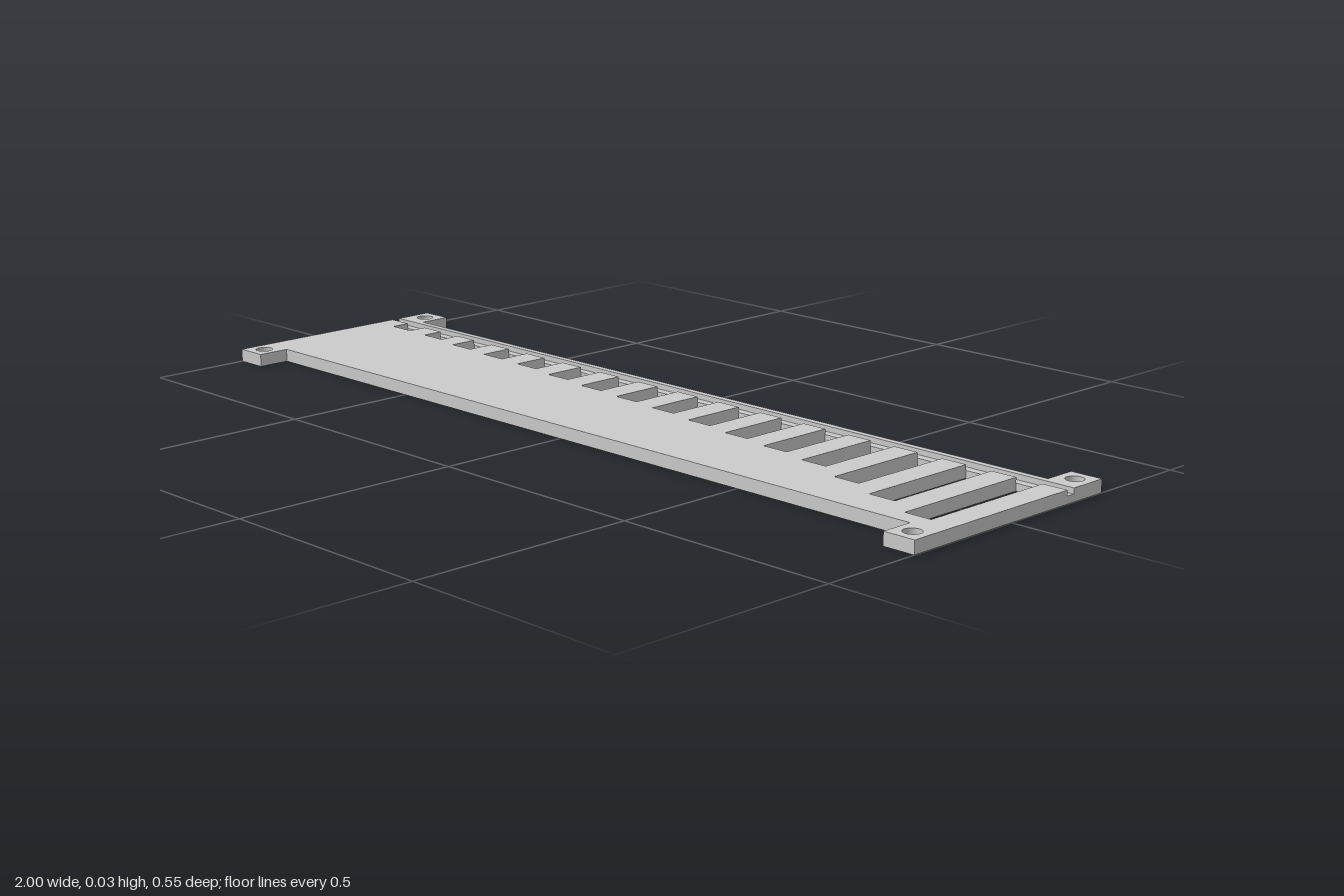
import * as THREE from 'three';

const HEIGHT = 0.028, FLOOR = 0.016;
const GROOVE_FRONT = -0.167, GROOVE_BACK = -0.187;
const EDGE = 0.202, TAB_END = 0.275, TAB_X = 0.928;
const HOLE_X = 0.964, HOLE_Z = 0.238, HOLE_R = 0.019;

// Front end (z) of each slot, from right to left along x
const SLOT_ENDS = [-0.123, -0.118, -0.102, -0.092, -0.086, -0.07, -0.055, -0.044,
  -0.033, -0.017, 0, 0.016, 0.037, 0.079, 0.118, 0.16];
const SLOT_STEP = 0.1215, SLOT_WIDTH = 0.062;

const material = new THREE.MeshStandardMaterial({ color: 0xcccccc, flatShading: true });

// Extrudes an [x, z] outline upward, with a screw hole at each side
function slab(name, outline, height, holeZ) {
  const shape = new THREE.Shape(outline.map(([x, z]) => new THREE.Vector2(x, -z)));
  if (holeZ !== undefined) {
    for (const side of [-1, 1]) {
      shape.holes.push(new THREE.Path().absarc(side * HOLE_X, -holeZ, HOLE_R, 0, Math.PI * 2, true));
    }
  }
  const geometry = new THREE.ExtrudeGeometry(shape, { depth: height, bevelEnabled: false, curveSegments: 16 });
  geometry.rotateX(-Math.PI / 2);
  const mesh = new THREE.Mesh(geometry, material);
  mesh.name = name;
  return mesh;
}

export function createModel() {
  const group = new THREE.Group();
  group.name = 'slottedPlate';

  // Main plate with front tabs; slots of growing length open into the groove
  const plate = [[-1, TAB_END], [-TAB_X, TAB_END], [-TAB_X, EDGE], [TAB_X, EDGE],
    [TAB_X, TAB_END], [1, TAB_END], [1, GROOVE_FRONT]];
  for (let i = SLOT_ENDS.length - 1; i >= 0; i--) {
    const x = (i - (SLOT_ENDS.length - 1) / 2) * SLOT_STEP, w = SLOT_WIDTH / 2;
    plate.push([x + w, GROOVE_FRONT], [x + w, SLOT_ENDS[i]], [x - w, SLOT_ENDS[i]], [x - w, GROOVE_FRONT]);
  }
  plate.push([-1, GROOVE_FRONT]);
  group.add(slab('mainPlate', plate, HEIGHT, HOLE_Z));

  // Thin floor of the long groove
  group.add(slab('grooveFloor', [[-1, GROOVE_FRONT], [1, GROOVE_FRONT], [1, GROOVE_BACK], [-1, GROOVE_BACK]], FLOOR));

  // Narrow rail behind the groove with the rear tabs
  group.add(slab('rearRail', [[-1, GROOVE_BACK], [1, GROOVE_BACK], [1, -TAB_END], [TAB_X, -TAB_END],
    [TAB_X, -EDGE], [-TAB_X, -EDGE], [-TAB_X, -TAB_END], [-1, -TAB_END]], HEIGHT, -HOLE_Z));

  return group;
}
